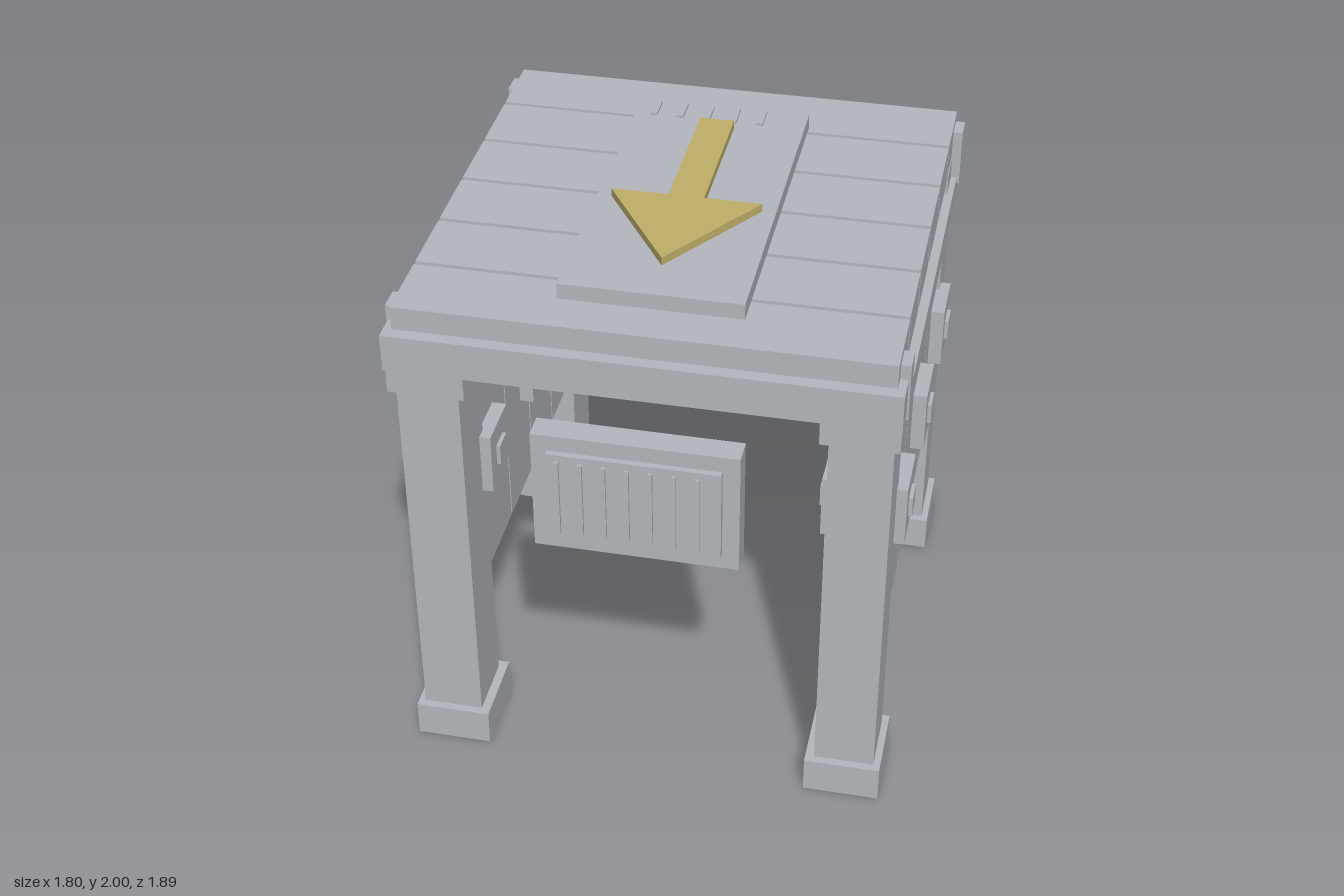
import * as THREE from 'three';

export function createModel() {
  const model = new THREE.Group();
  const grey = new THREE.MeshStandardMaterial({ color: 0xb4b8be });
  grey.name = 'paleGrey';
  const gold = new THREE.MeshStandardMaterial({ color: 0xc0b06a });
  gold.name = 'dullGold';

  // Box given by its limits on each axis
  function box(name, [x0, x1], [y0, y1], [z0, z1], parent = model) {
    const mesh = new THREE.Mesh(new THREE.BoxGeometry(x1 - x0, y1 - y0, z1 - z0), grey);
    mesh.position.set((x0 + x1) / 2, (y0 + y1) / 2, (z0 + z1) / 2);
    mesh.name = name;
    parent.add(mesh);
  }

  // Both sides: legs, feet, rail, wall boards, bosses and corner clips
  for (const s of [1, -1]) {
    const side = new THREE.Group();
    side.name = s > 0 ? 'leftSide' : 'rightSide';
    model.add(side);
    const span = (a, b) => (s > 0 ? [a, b] : [-b, -a]);

    for (const [end, z] of [['front', 0.692], ['back', -0.78]]) {
      box(end + 'Leg', span(0.63, 0.848), [0.1, 1.77], [z - 0.118, z + 0.118], side);
      box(end + 'Foot', span(0.597, 0.873), [0, 0.14], [z - 0.147, z + 0.147], side);
    }
    box('sideRail', span(0.602, 0.87), [1.585, 1.687], [-0.93, 0.838], side);

    for (let i = 0; i < 4; i++) {
      const z = 0.406 - i * 0.308;
      box('wallBoard', span(0.642, 0.836), [0.63, 1.697], [z - 0.149, z + 0.149], side);
    }
    for (let i = 0; i < 3; i++) {
      const z = 0.512 - i * 0.557;
      box('bossPlate', span(0.59, 0.886), [1.03, 1.267], [z - 0.106, z + 0.106], side);
      box('bossCore', span(0.576, 0.9), [1.107, 1.187], [z - 0.042, z + 0.042], side);
    }
    for (const z of [0.714, -0.838]) {
      box('cornerClip', span(0.59, 0.88), [1.665, 1.88], [z - 0.043, z + 0.043], side);
    }
  }

  // Cross beams
  box('frontBeam', [-0.873, 0.873], [1.685, 1.825], [0.715, 0.857]);
  box('backBeam', [-0.873, 0.873], [1.685, 1.825], [-0.946, -0.805]);

  // Roof boards
  for (let i = 0; i < 6; i++) {
    const z = 0.676 - i * 0.288;
    box('roofBoard', [-0.845, 0.845], [1.755, 1.912], [z - 0.135, z + 0.135]);
  }

  // Roof plate with its row of ribs
  box('roofPlate', [-0.317, 0.317], [1.91, 1.97], [-0.661, 0.649]);
  for (let i = 0; i < 5; i++) {
    const x = -0.248 + i * 0.0995;
    box('roofRib', [x - 0.013, x + 0.013], [1.96, 1.98], [-0.634, -0.537]);
  }

  // Arrow pointing to the front
  const outline = [[-0.063, 0.501], [-0.063, -0.061], [-0.268, -0.061], [0, -0.47],
    [0.268, -0.061], [0.063, -0.061], [0.063, 0.501]];
  const arrowShape = new THREE.Shape(outline.map(([x, y]) => new THREE.Vector2(x, y)));
  const arrow = new THREE.Mesh(
    new THREE.ExtrudeGeometry(arrowShape, { depth: 0.03, bevelEnabled: false }), gold);
  arrow.rotation.x = -Math.PI / 2;
  arrow.position.y = 1.97;
  arrow.name = 'arrow';
  model.add(arrow);

  // Front grille panel
  box('grillePanel', [-0.357, 0.357], [1.07, 1.54], [0.821, 0.914]);
  box('grilleInset', [-0.301, 0.298], [1.13, 1.48], [0.9, 0.936]);
  for (let i = 0; i < 7; i++) {
    const x = -0.262 + i * 0.08;
    box('grilleBar', [x - 0.007, x + 0.007], [1.155, 1.455], [0.93, 0.947]);
  }

  return model;
}
